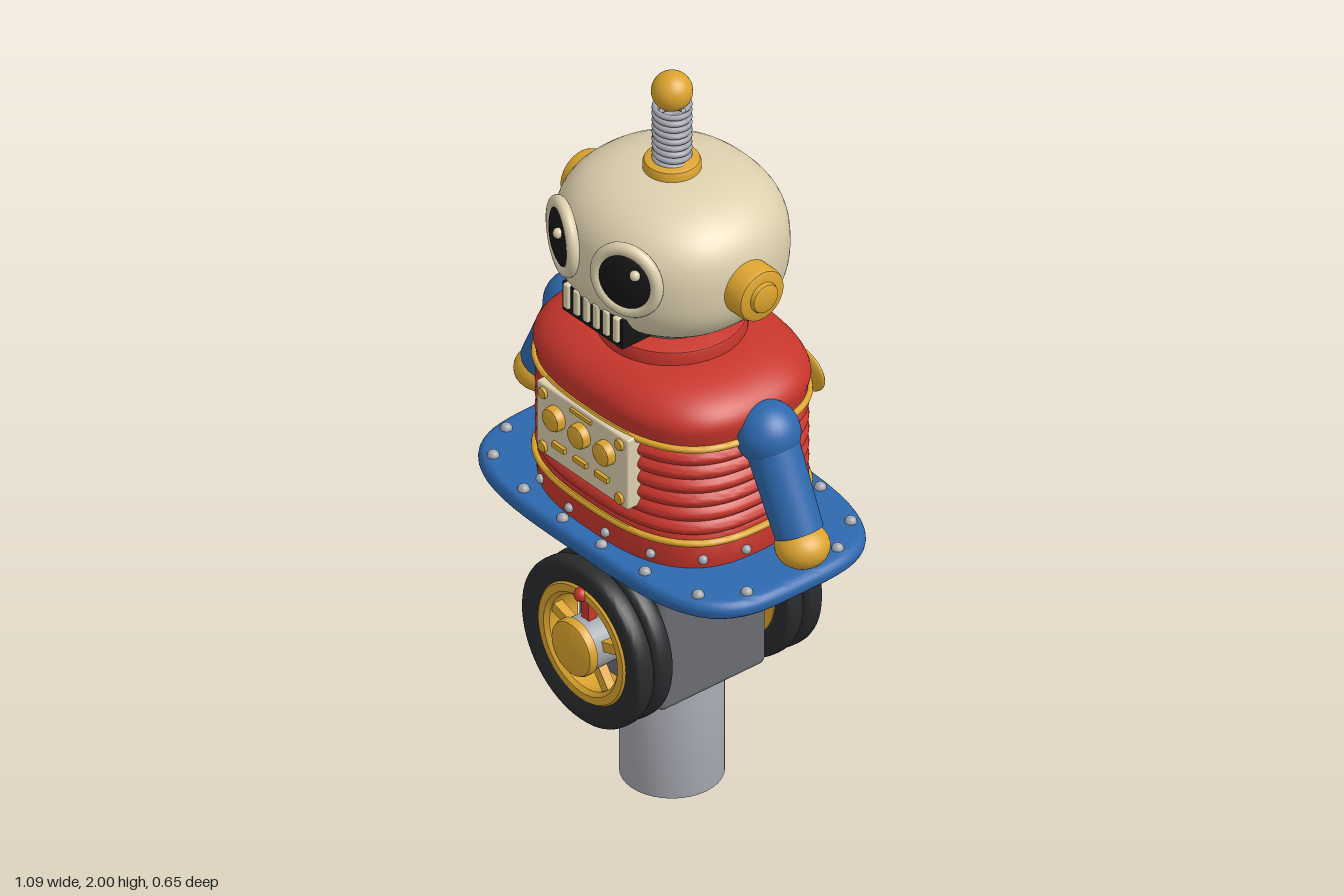
import * as THREE from 'three';
import { mergeVertices, toCreasedNormals } from 'three/addons/utils/BufferGeometryUtils.js';
import { RoundedBoxGeometry } from 'three/addons/geometries/RoundedBoxGeometry.js';

const mat = (color) => new THREE.MeshStandardMaterial({ color, side: THREE.DoubleSide });
const RED = mat(0xc8362c), BLUE = mat(0x2d68ae), GOLD = mat(0xdba42e), CREAM = mat(0xddd0ae);
const BLACK = mat(0x161616), RUBBER = mat(0x2a2b2d), DARK = mat(0x6b6d73), STEEL = mat(0xa2a5ad);
const Y = new THREE.Vector3(0, 1, 0);

function add(parent, name, geo, material, x = 0, y = 0, z = 0) {
  const m = new THREE.Mesh(geo, material);
  m.name = name;
  m.position.set(x, y, z);
  parent.add(m);
  return m;
}
function group(parent, name, x = 0, y = 0, z = 0) {
  const g = new THREE.Group();
  g.name = name;
  g.position.set(x, y, z);
  parent.add(g);
  return g;
}
const cyl = (r0, r1, h, n = 40) => new THREE.CylinderGeometry(r0, r1, h, n);
const ball = (r) => new THREE.SphereGeometry(r, 28, 18);
const lathe = (pts, seg = 64) =>
  toCreasedNormals(new THREE.LatheGeometry(pts.map((p) => new THREE.Vector2(...p)), seg), 0.6);
// knob with softened rim, standing on y = 0
const knob = (r, h, b = h * 0.4) =>
  lathe([[0, 0], [r, 0], [r, h - b], [r - b * 0.3, h - b * 0.3], [r - b, h], [0, h]], 36);

// distance factor of a superellipse at a given angle
const superR = (t, n) => (Math.abs(Math.cos(t)) ** n + Math.abs(Math.sin(t)) ** n) ** (-1 / n);

// lathe whose plan is a superellipse with half-axes a and b
function superLathe(pts, a, b, n) {
  let g = new THREE.LatheGeometry(pts.map((p) => new THREE.Vector2(...p)), 96);
  const p = g.attributes.position;
  for (let i = 0; i < p.count; i++) {
    const x = p.getX(i), z = p.getZ(i), f = superR(Math.atan2(z, x), n);
    p.setX(i, x * f * a);
    p.setZ(i, z * f * b);
  }
  g.deleteAttribute('uv');
  g.deleteAttribute('normal');
  g = mergeVertices(g, 1e-5);
  return toCreasedNormals(g, 0.7);
}

function buildWheel(parent, name, z, turn) {
  const w = group(parent, name, 0, 0.483, z);
  w.rotation.set(0, turn ? Math.PI : 0, turn ? -1.75 : 0);
  const spin = group(w, 'wheelParts');
  spin.rotation.x = Math.PI / 2; // local y is the axle, pointing outward
  // twin-lobed tyre
  const prof = [[0.155, -0.045]];
  for (const c of [-0.029, 0.029])
    for (let i = 0; i <= 10; i++) {
      const t = -Math.PI / 2 + (i / 10) * Math.PI;
      const q = (v) => Math.sign(v) * Math.abs(v) ** 0.6;
      prof.push([0.19 + 0.03 * q(Math.cos(t)), c + 0.028 * q(Math.sin(t))]);
    }
  prof.push([0.155, 0.045], [0.155, -0.045]);
  add(spin, 'tyre', lathe(prof), RUBBER);
  add(spin, 'rim', lathe([[0.125, -0.045], [0.16, -0.05], [0.165, 0.04], [0.155, 0.052], [0.135, 0.052],
    [0.125, 0.042], [0.125, -0.045]]), GOLD);
  add(spin, 'hub', cyl(0.068, 0.068, 0.15), STEEL);
  add(spin, 'hubCap', knob(0.074, 0.025, 0.012), GOLD, 0, 0.06, 0);
  add(spin, 'axle', cyl(0.035, 0.035, 0.14), DARK, 0, -0.08, 0);
  for (let i = 0; i < 5; i++) {
    const a = Math.PI / 2 + (i * Math.PI * 2) / 5;
    const s = add(w, i ? 'spoke' : 'markerSpoke', new THREE.BoxGeometry(0.09, 0.026, 0.025), i ? GOLD : RED,
      Math.cos(a) * 0.095, Math.sin(a) * 0.095, 0.025);
    s.rotation.z = a;
  }
  add(w, 'markerBall', ball(0.018), RED, 0, 0.143, 0.05);
}

function buildHead(root) {
  const head = group(root, 'head', 0, 1.54, 0);
  const prof = [];
  for (let i = 0; i <= 36; i++) {
    const t = -Math.PI / 2 + (i / 36) * Math.PI, f = superR(t, 2.6);
    prof.push([Math.max(0, Math.cos(t) * f), Math.sin(t) * f * 0.196]);
  }
  add(head, 'skull', superLathe(prof, 0.282, 0.262, 2.2), CREAM);
  for (const s of [-1, 1]) {
    // ears
    const ear = group(head, s > 0 ? 'leftEar' : 'rightEar', s * 0.262, -0.005, 0);
    ear.rotation.z = -s * Math.PI / 2;
    add(ear, 'earDisc', knob(0.07, 0.072, 0.014), GOLD);
    add(ear, 'earKnob', knob(0.04, 0.018, 0.01), GOLD, 0, 0.067, 0);
    // eyes, turned outward
    const eye = group(head, s > 0 ? 'leftEye' : 'rightEye', s * 0.117, 0.036, 0.238);
    eye.rotation.y = s * 0.39;
    eye.scale.y = 1.07;
    add(eye, 'eyeRing', new THREE.TorusGeometry(0.08, 0.016, 16, 48), CREAM);
    add(eye, 'eyeLens', ball(0.076), BLACK).scale.z = 0.34;
    add(eye, 'eyeGlint', ball(0.013), CREAM, 0.033, 0.033, 0.022);
  }
  // mouth with hanging teeth
  add(head, 'mouth', new THREE.BoxGeometry(0.22, 0.08, 0.11), BLACK, 0, -0.126, 0.19);
  for (let i = 0; i < 6; i++)
    add(head, 'tooth', new RoundedBoxGeometry(0.02, 0.07, 0.022, 2, 0.005), CREAM, (i - 2.5) * 0.036, -0.117, 0.243);
  // antenna spring and ball
  add(head, 'antennaBase', knob(0.07, 0.035, 0.012), GOLD, 0, 0.185, 0);
  const pts = [];
  for (let i = 0; i <= 160; i++) {
    const t = (i / 160) * Math.PI * 18;
    pts.push(new THREE.Vector3(Math.cos(t) * 0.041, 0.215 + (i / 160) * 0.16, Math.sin(t) * 0.041));
  }
  add(head, 'antennaSpring', new THREE.TubeGeometry(new THREE.CatmullRomCurve3(pts), 320, 0.0075, 8), STEEL);
  add(head, 'antennaBall', ball(0.05), GOLD, 0, 0.41, 0);
}

function buildTorso(root) {
  const A = 0.335, B = 0.262, N = 2.7;
  const prof = [[0, 0.8], [0.98, 0.8], [0.99, 0.82], [0.99, 0.895]];
  for (let i = 1; i <= 48; i++)
    prof.push([0.965 + 0.04 * Math.abs(Math.sin((i / 48) * Math.PI * 6)), 0.895 + (i / 48) * 0.24]);
  prof.push([0.99, 1.137], [1, 1.17], [1.02, 1.195]);
  for (let i = 1; i <= 12; i++) {
    const t = (i / 12) * Math.PI / 2;
    prof.push([0.5 + 0.52 * Math.cos(t), 1.195 + 0.09 * Math.sin(t)]);
  }
  prof.push([0, 1.285]);
  add(root, 'torso', superLathe(prof, A, B, N), RED);
  for (const y of [0.88, 1.15]) {
    const ring = [];
    for (let i = 0; i <= 10; i++) {
      const t = (i / 10) * Math.PI * 2;
      ring.push([1.005 + 0.028 * Math.cos(t), y + 0.009 * Math.sin(t)]);
    }
    add(root, 'torsoBand', superLathe(ring, A, B, N), GOLD);
  }
  for (let i = 0; i < 16; i++) {
    const t = ((i + 0.5) / 16) * Math.PI * 2, f = superR(t, N);
    add(root, 'torsoRivet', ball(0.012), STEEL, Math.cos(t) * f * A, 0.832, Math.sin(t) * f * B);
  }
  add(root, 'collar', knob(0.18, 0.038, 0.008), RED, 0, 1.283, 0);
  add(root, 'neck', cyl(0.122, 0.122, 0.12), DARK, 0, 1.33, 0);

  // control panel
  const panel = group(root, 'controlPanel', 0, 1.055, 0.255);
  add(panel, 'panelPlate', new RoundedBoxGeometry(0.335, 0.2, 0.045, 2, 0.006), CREAM);
  const stud = (name, r, h, x, y) => { add(panel, name, knob(r, h), GOLD, x, y, 0.02).rotation.x = Math.PI / 2; };
  for (const i of [-1, 0, 1]) {
    stud('dial', 0.032, 0.027, i * 0.092, 0.03);
    add(panel, 'slot', new THREE.BoxGeometry(0.045, 0.014, 0.016), GOLD, i * 0.078, -0.047, 0.024);
  }
  add(panel, 'topSlot', new THREE.BoxGeometry(0.075, 0.01, 0.014), GOLD, 0, 0.084, 0.022);
  for (const x of [-0.14, 0.14]) for (const y of [-0.077, 0.077]) stud('panelScrew', 0.015, 0.012, x, y);

  // wind-up key on the back
  const key = group(root, 'windUpKey', 0, 1.057, 0);
  add(key, 'keyShaft', cyl(0.023, 0.023, 0.1), GOLD, 0, 0, -0.275).rotation.x = Math.PI / 2;
  for (const s of [-1, 1]) add(key, 'keyWing', ball(1), GOLD, s * 0.085, 0, -0.325).scale.set(0.088, 0.057, 0.014);
}

function buildArm(root, s) {
  const arm = group(root, s > 0 ? 'leftArm' : 'rightArm');
  const a = new THREE.Vector3(s * 0.355, 1.15, 0), b = new THREE.Vector3(s * 0.465, 0.93, 0);
  const dir = b.clone().sub(a), mid = a.clone().add(b).multiplyScalar(0.5);
  add(arm, 'shoulder', ball(0.08), BLUE, s * 0.35, 1.155, 0);
  add(arm, 'sleeve', cyl(0.06, 0.066, dir.length()), BLUE, mid.x, mid.y, 0)
    .quaternion.setFromUnitVectors(Y, dir.normalize());
  add(arm, 'hand', ball(0.067), GOLD, s * 0.477, 0.898, 0).scale.y = 0.8;
}

export function createModel() {
  const model = new THREE.Group();
  const root = group(model, 'robot', 0, 0, 0.012);

  // stand and wheel housing
  add(root, 'post', knob(0.125, 0.33, 0.01), STEEL);
  add(root, 'wheelHousing', new RoundedBoxGeometry(0.31, 0.46, 0.33, 3, 0.02), DARK, 0, 0.54, 0);
  buildWheel(root, 'frontWheel', 0.23, false);
  buildWheel(root, 'backWheel', -0.23, true);

  // base plate with rivets
  const plate = [[0, 0.755], [0.94, 0.755]];
  for (let i = 1; i < 10; i++) {
    const t = -Math.PI / 2 + (i / 10) * Math.PI;
    plate.push([0.95 + 0.05 * Math.cos(t), 0.78 + 0.025 * Math.sin(t)]);
  }
  plate.push([0.94, 0.805], [0, 0.805]);
  add(root, 'basePlate', superLathe(plate, 0.487, 0.308, 3.7), BLUE);
  for (const [x, z] of [[0.44, 0.14], [0.375, 0.235], [0.222, 0.27], [0.071, 0.277]])
    for (const sx of [-1, 1]) for (const sz of [-1, 1])
      add(root, 'plateRivet', ball(0.015), STEEL, sx * x, 0.805, sz * z);

  buildTorso(root);
  for (const s of [-1, 1]) buildArm(root, s);
  buildHead(root);
  return model;
}
